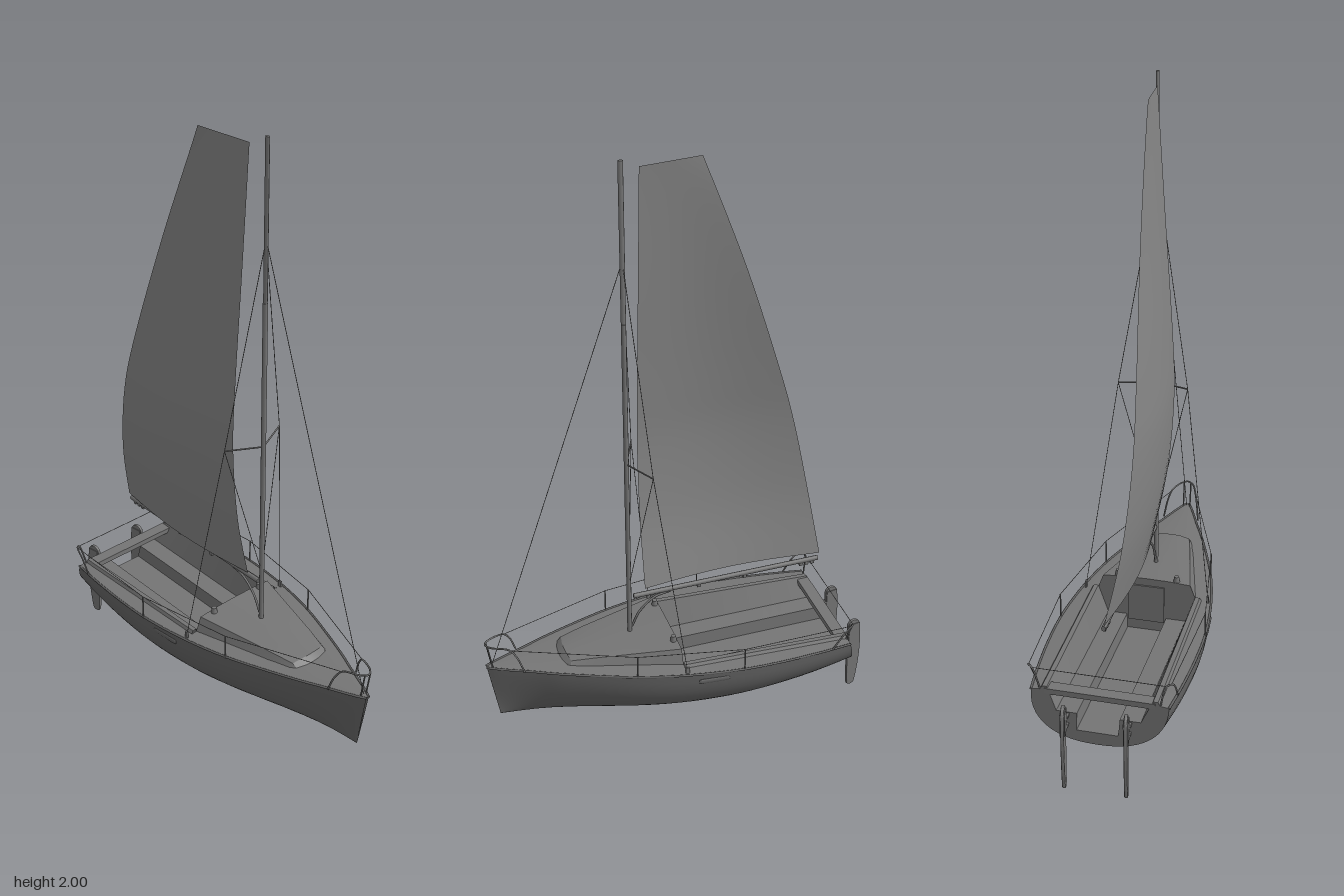
import * as THREE from 'three';
import { toCreasedNormals } from 'three/addons/utils/BufferGeometryUtils.js';

const V = (x, y, z) => new THREE.Vector3(x, y, z);
const paint = color => new THREE.MeshStandardMaterial({ color, side: THREE.DoubleSide });
const deckGrey = paint(0x757575), hullGrey = paint(0x646464), sailGrey = paint(0x858585);

export function createModel() {
  const model = new THREE.Group();
  const add = (name, geo, material = deckGrey) => {
    const mesh = new THREE.Mesh(geo, material);
    mesh.name = name;
    model.add(mesh);
    return mesh;
  };

  // Skin over equal-length rows of points
  const loft = (rows, crease) => {
    const n = rows[0].length, index = [];
    for (let i = 0; i < rows.length - 1; i++)
      for (let j = 0; j < n - 1; j++) {
        const a = i * n + j, c = a + n;
        index.push(a, a + 1, c, a + 1, c + 1, c);
      }
    const geo = new THREE.BufferGeometry().setFromPoints(rows.flat());
    geo.setIndex(index);
    geo.computeVertexNormals();
    return crease ? toCreasedNormals(geo, crease) : geo;
  };
  const tube = (name, pts, r) => add(name,
    new THREE.TubeGeometry(new THREE.CatmullRomCurve3(pts), pts.length * 8, r, 6));
  const rod = (name, a, b, r) => {
    const m = add(name, new THREE.CylinderGeometry(r, r, a.distanceTo(b), 8));
    m.position.copy(a).lerp(b, 0.5);
    m.quaternion.setFromUnitVectors(V(0, 1, 0), b.clone().sub(a).normalize());
    return m;
  };
  const box = (name, w, h, d, x, y, z) => {
    const m = add(name, new THREE.BoxGeometry(w, h, d));
    m.position.set(x, y, z);
    return m;
  };
  const spline = pts => new THREE.SplineCurve(pts.map(p => new THREE.Vector2(...p)));

  // Hull lines: half breadth, sheer height, keel height, end rake
  const stations = spline([
    [0.64, 0.005], [0.6, 0.025], [0.5, 0.066], [0.4, 0.108], [0.2, 0.178], [0.03, 0.216],
    [-0.16, 0.236], [-0.36, 0.231], [-0.54, 0.212],
  ]).getPoints(48);
  const sheer = z => 0.315 + 0.047 * z;
  const keel = z => 0.097 + (z > -0.1 ? 0.04 * ((z + 0.1) / 0.74) ** 2 : 0.053 * ((z + 0.1) / 0.44) ** 2);
  const rake = z => (z < 0 ? 0.25 * (z / 0.54) ** 2 : 0.16 * (z / 0.64) ** 2);
  const at = (x, y, z) => V(x, y, z - rake(z) * (sheer(z) - y));
  const beam = z => {
    const i = Math.max(1, stations.findIndex(s => s.x <= z + 1e-6));
    const a = stations[i - 1], b = stations[i];
    return THREE.MathUtils.mapLinear(z, a.x, b.x, a.y, b.y);
  };

  // Hull shell, from rounded sections amidships to V sections at the bow
  const section = ({ x: z, y: w }) => {
    const e = 2 / (z > 0 ? 2.35 - 1.0 * (z / 0.64) ** 1.3 : 2.35);
    return Array.from({ length: 29 }, (_, j) => {
      const t = j / 28 * Math.PI, c = Math.cos(t);
      const x = w * Math.sign(c) * Math.abs(c) ** e;
      return at(x, sheer(z) - (sheer(z) - keel(z)) * Math.max(0, Math.sin(t)) ** e, z);
    });
  };
  add('hull', loft(stations.map(section)), hullGrey);

  // Foredeck with camber
  const fore = stations.filter(s => s.x > 0.0299);
  add('foredeck', loft(fore.map(({ x: z, y: w }) => Array.from({ length: 9 }, (_, j) => {
    const u = j / 4 - 1;
    return at(u * w, sheer(z) + 0.05 * w * (1 - u * u), z);
  }))));

  // Side decks, coamings, benches and footwell in one profile, open at the stern
  const seatY = 0.235, floorY = 0.185;
  const well = [[0.13, seatY], [0.066, seatY], [0.064, floorY]];
  const profile = ({ x: z, y: w }) => {
    const s = sheer(z);
    const half = [[w, s], [0.184, s + 0.003], [0.178, s + 0.013], [0.163, s + 0.013], ...well];
    return [...half.map(([x, y]) => [-x, y]), ...half.reverse()];
  };
  const aft = stations.filter(s => s.x < 0.0301);
  add('cockpit', loft(aft.map(s => profile(s).map(([x, y]) => at(x, y, s.x))), 0.4));

  // Raked transom filling between hull section and cockpit profile
  const plate = (name, pts, z, material) => {
    const geo = new THREE.ShapeGeometry(new THREE.Shape(pts.map(p => new THREE.Vector2(...p))));
    const p = geo.attributes.position;
    for (let i = 0; i < p.count; i++) p.setZ(i, at(0, p.getY(i), z).z);
    geo.computeVertexNormals();
    return add(name, geo, material);
  };
  const last = stations[stations.length - 1];
  plate('transom', [...profile(last), ...section(last).slice(1, -1).map(p => [p.x, p.y])], last.x, hullGrey);

  // Cabin trunk and its aft bulkhead
  const cabinHalf = z => {
    const k = (z - 0.03) / 0.37;
    const top = Math.min(0.376 - 0.05 * (z - 0.03), sheer(z) + 0.004 + (0.405 - z) * 0.9);
    return [[0.168 - 0.093 * k, sheer(z) - 0.004], [0.146 - 0.085 * k, top - 0.006],
      [0.07 - 0.04 * k, top - 0.001], [0, top]];
  };
  const cabinRow = z => {
    const h = cabinHalf(z);
    return [...h.map(([x, y]) => [-x, y]), ...h.slice(0, -1).reverse()];
  };
  add('cabin', loft([0.406, 0.395, 0.385, 0.3, 0.2, 0.1, 0.03].map(z =>
    cabinRow(z).map(([x, y]) => V(x, y, z - 2 * x * x * (z > 0.37 ? 1 : 0)))), 0.35));
  plate('bulkhead', [...cabinRow(0.03), ...well, ...well.map(([x, y]) => [-x, y]).reverse()], 0.03);
  box('companionwayDoor', 0.12, 0.13, 0.006, 0, 0.285, 0.028);

  // Beam across the open stern
  box('sternBeam', 0.34, 0.018, 0.04, 0, 0.289, -0.522);

  // Mast with slimmer top, boom and curved vang
  rod('lowerMast', V(0, 0.335, 0.16), V(0, 1.5, 0.16), 0.008).scale.x = 0.95;
  rod('upperMast', V(0, 1.5, 0.16), V(0, 2, 0.16), 0.008).scale.x = 0.65;
  rod('boom', V(0, 0.507, 0.145), V(-0.004, 0.505, -0.5), 0.009).scale.x = 0.8;
  tube('vang', [V(0, 0.385, 0.152), V(0, 0.44, 0.125), V(0, 0.485, 0.075), V(0, 0.498, 0.02)], 0.004);
  for (const z of [-0.08, -0.24, -0.44, -0.46, -0.48]) box('boomBlock', 0.008, 0.012, 0.012, -0.003, 0.494, z);

  // Bellied mainsail, flattening and twisting off towards a straight head
  const sag = spline([[-0.008, 0.52], [-0.052, 0.75], [-0.071, 1.0], [-0.064, 1.22],
    [-0.038, 1.6], [-0.014, 1.97]]);
  const leech = spline([[-0.508, 0.52], [-0.474, 0.75], [-0.425, 1.0], [-0.363, 1.22],
    [-0.235, 1.6], [-0.09, 1.97]]);
  add('mainsail', loft(Array.from({ length: 31 }, (_, i) => {
    const v = i / 30, a = sag.getPoint(v), b = leech.getPoint(v);
    return Array.from({ length: 15 }, (_, j) => {
      const u = j / 14;
      const belly = 0.024 * (1 - v ** 3) * Math.sin(Math.PI * u) + 0.02 * v ** 3 * u;
      return V(a.x - belly, b.y, 0.103 + (b.x - 0.103) * u);
    });
  })), sailGrey);

  // Forestay and bow rail
  const wire = 0.0011;
  const head = V(0, 1.7, 0.16);
  rod('forestay', head, V(0, 0.35, 0.622), wire);
  tube('bowRail', [V(-0.062, 0.342, 0.53), V(-0.052, 0.4, 0.55), V(-0.042, 0.428, 0.572), V(-0.02, 0.434, 0.625),
    V(0, 0.435, 0.64), V(0.02, 0.434, 0.625), V(0.042, 0.428, 0.572), V(0.052, 0.4, 0.55), V(0.062, 0.342, 0.53)], 0.003);

  for (const s of [1, -1]) {
    // Standing rigging
    const tip = V(s * 0.112, 1.025, 0.11), chain = V(s * 0.205, 0.325, 0.03);
    rod('spreader', V(0, 1.018, 0.16), tip, 0.0025);
    rod('upperShroud', head, tip, wire);
    rod('lowerShroud', tip, chain, wire);
    rod('diamondStay', tip, V(0, 0.55, 0.16), wire);
    box('chainplate', 0.006, 0.03, 0.012, chain.x, 0.325, 0.03);

    // Rub rail along the sheer
    const rail = stations.filter((_, i) => i % 4 === 0).map(p => V(s * p.y, sheer(p.x), p.x));
    tube('rubRail', rail, 0.004).material = hullGrey;

    // Bow rail leg, stanchions and lifelines
    rod('bowRailLeg', V(s * 0.012, 0.345, 0.622), V(s * 0.012, 0.434, 0.635), 0.0025);
    const tops = [V(s * 0.044, 0.426, 0.568)];
    for (const z of [0.19, -0.155]) {
      const x = s * beam(z);
      tops.push(V(x, sheer(z) + 0.082, z));
      rod('stanchion', V(x, sheer(z) - 0.005, z), tops[tops.length - 1], 0.0025);
    }
    tops.push(V(s * 0.218, 0.372, -0.535));
    for (let i = 0; i < 3; i++) rod('lifeline', tops[i], tops[i + 1], wire);

    // Stern rail corner
    tube('sternRail', [V(s * 0.222, 0.292, -0.47), V(s * 0.222, 0.35, -0.51), V(s * 0.218, 0.372, -0.537),
      V(s * 0.205, 0.368, -0.545), V(s * 0.185, 0.293, -0.535)], 0.003);

    // Cabin winch
    const winch = add('winch', new THREE.CylinderGeometry(0.008, 0.011, 0.022, 16));
    winch.position.set(s * 0.098, 0.38, 0.042);

    // Long hull window following the topsides
    const port = add('hullWindow', new THREE.CapsuleGeometry(0.009, 0.085, 6, 12), hullGrey);
    port.rotation.set(Math.PI / 2, -s * 0.09, 0, 'YXZ');
    port.scale.x = 0.4;
    port.position.set(s * 0.2265, 0.283, -0.055);

    // Rudder blade with cheeks and brackets, turned a little to one side
    const outline = new THREE.Shape();
    outline.moveTo(0.005, 0.27);
    outline.bezierCurveTo(0.01, 0.295, 0.045, 0.295, 0.052, 0.265);
    outline.bezierCurveTo(0.062, 0.2, 0.062, 0.1, 0.045, 0.012);
    outline.bezierCurveTo(0.04, 0, 0.02, 0, 0.015, 0.012);
    outline.bezierCurveTo(0.008, 0.08, 0.006, 0.2, 0.005, 0.27);
    const blade = new THREE.ExtrudeGeometry(outline, {
      depth: 0.005, bevelThickness: 0.003, bevelSize: 0.003, bevelOffset: -0.003, bevelSegments: 2, curveSegments: 10,
    });
    blade.translate(0, 0, -0.0025);
    const rudder = add('rudder', blade);
    rudder.rotation.y = Math.PI / 2 + 0.17;
    rudder.position.set(s * 0.096 + 0.002, 0, -0.577);
    box('rudderCheeks', 0.016, 0.075, 0.04, s * 0.096 - 0.003, 0.235, -0.605).rotation.y = 0.17;
    for (const y of [0.2, 0.228]) box('rudderBracket', 0.014, 0.008, 0.04, s * 0.096, y, -0.572);
  }
  rod('sternLifeline', V(-0.205, 0.368, -0.545), V(0.205, 0.368, -0.545), wire);

  return model;
}
